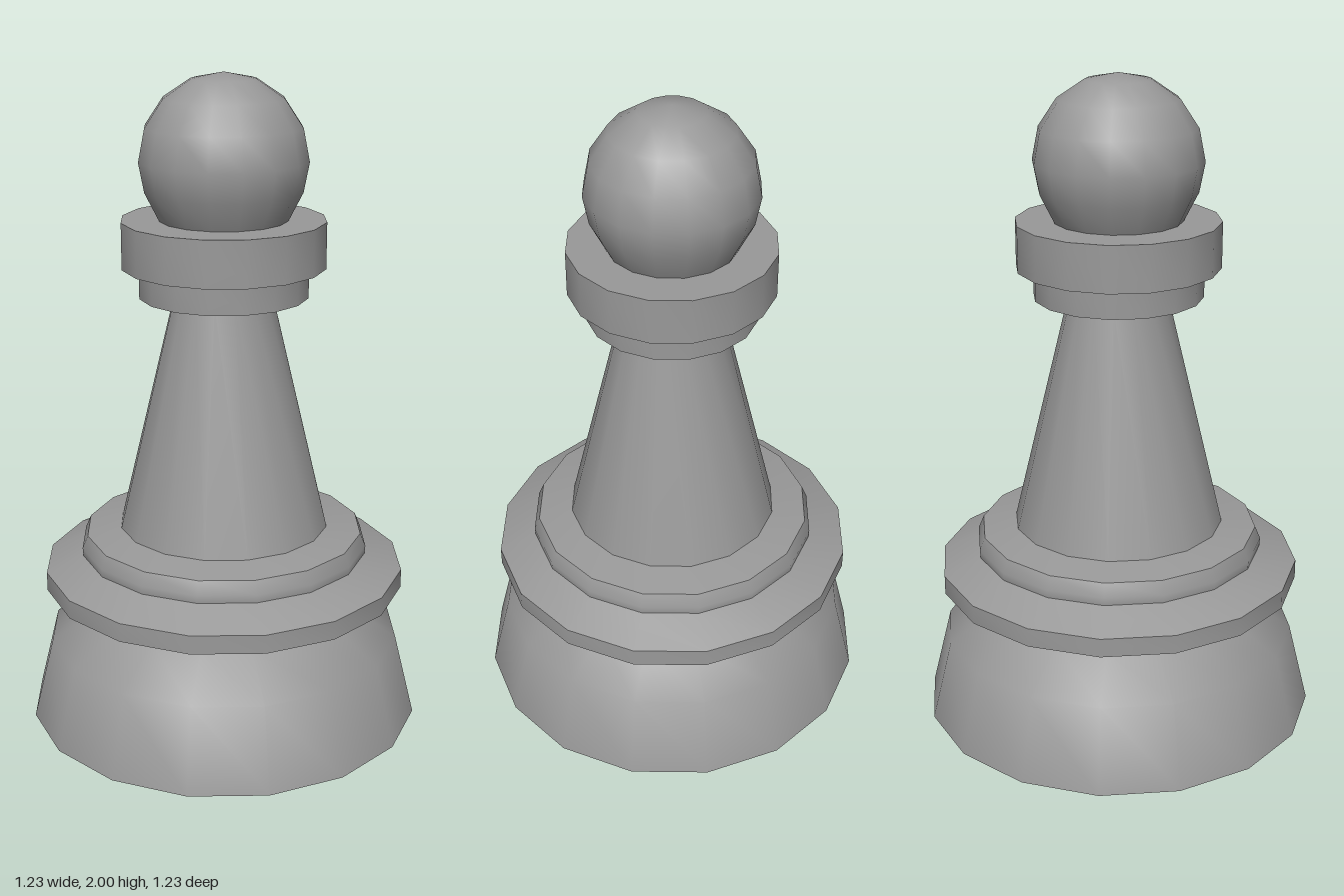
import * as THREE from 'three';
import { mergeVertices } from 'three/addons/utils/BufferGeometryUtils.js';

const SIDES = 16;

export function createModel() {
  const group = new THREE.Group();
  const material = new THREE.MeshStandardMaterial({ color: 0x999999, side: THREE.DoubleSide });

  // Turned surface, welded at seam and pole so that its normals are even
  function turnedSurface(section) {
    const lathe = new THREE.LatheGeometry(section.map(([r, y]) => new THREE.Vector2(r, y)), SIDES);
    lathe.deleteAttribute('uv');
    lathe.deleteAttribute('normal');
    const geometry = mergeVertices(lathe);
    geometry.computeVertexNormals();
    return geometry;
  }

  // Each section is turned from [radius, height] points, bottom to top.
  // Sections are smooth inside and meet each other in a sharp edge.
  function turn(name, ...sections) {
    const part = new THREE.Group();
    part.name = name;
    sections.forEach((section, i) => {
      const mesh = new THREE.Mesh(turnedSurface(section), material);
      mesh.name = `${name}Section${i + 1}`;
      part.add(mesh);
    });
    group.add(part);
  }

  // Hollow foot, open underneath
  turn('base', [[0.613, 0], [0.55, 0.255], [0.4, 0.353]]);

  // Wide flange above the waist
  turn('flange',
    [[0.4, 0.353], [0.56, 0.43]],
    [[0.56, 0.43], [0.56, 0.488]],
    [[0.56, 0.488], [0.445, 0.535]]);

  // Rounded bead with a sloping top
  turn('bead',
    [[0.445, 0.535], [0.447, 0.56], [0.43, 0.6]],
    [[0.43, 0.6], [0.324, 0.617]]);

  // Tapering stem
  turn('stem', [[0.324, 0.617], [0.15, 1.343]]);

  // Two-step collar
  turn('collar',
    [[0.15, 1.343], [0.256, 1.343]],
    [[0.256, 1.343], [0.256, 1.433]],
    [[0.256, 1.433], [0.307, 1.433]],
    [[0.307, 1.433], [0.307, 1.573]],
    [[0.307, 1.573], [0.193, 1.573]]);

  // Ball head, cut off where it meets the collar
  const head = [[0.193, 1.573], [0.236, 1.658]];
  for (let i = 0; i <= 4; i++) {
    const a = (i * Math.PI) / 8;
    head.push([i === 4 ? 0 : 0.253 * Math.cos(a), 1.747 + 0.253 * Math.sin(a)]);
  }
  turn('head', head);

  return group;
}
